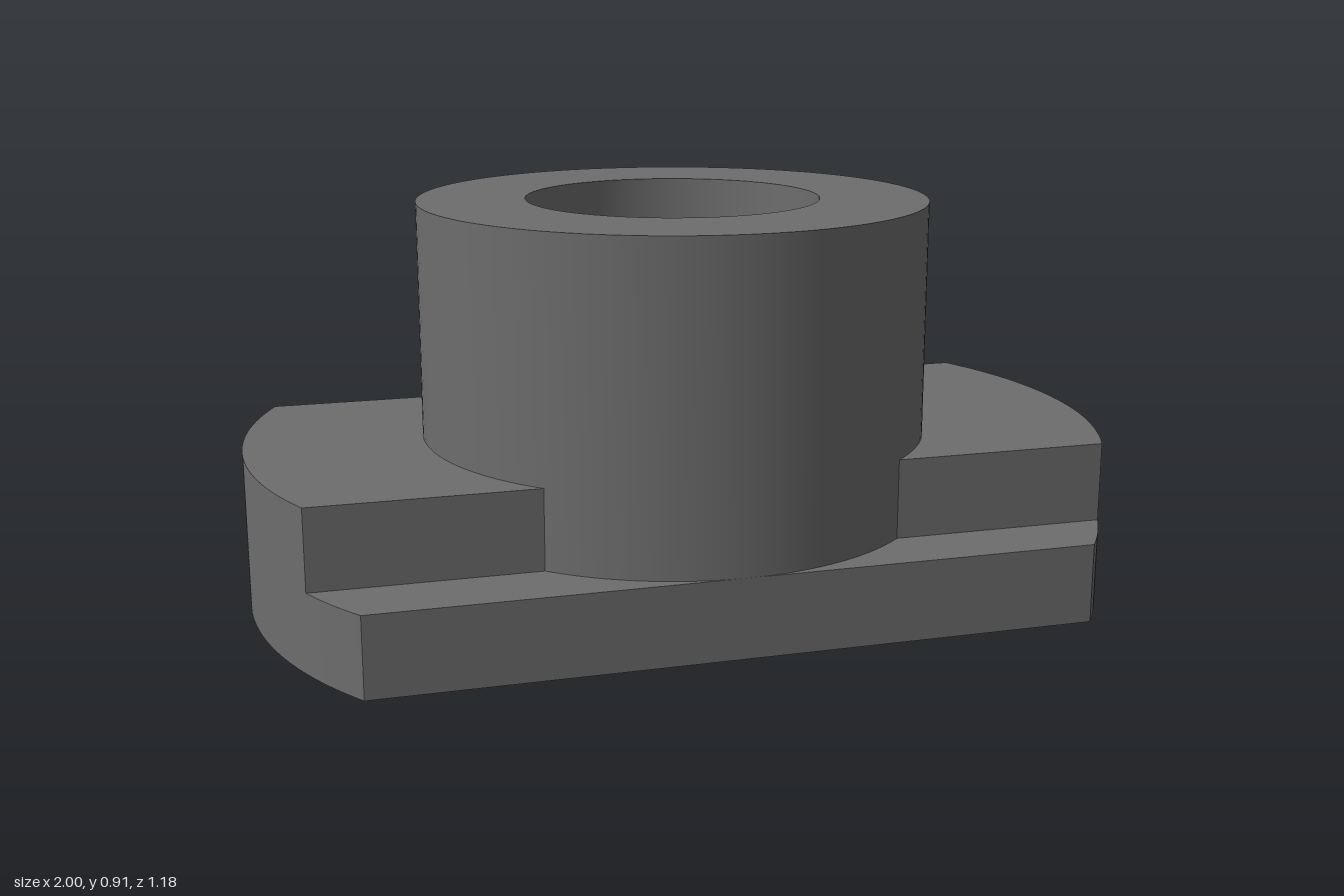
import * as THREE from 'three';
import { toCreasedNormals } from 'three/addons/utils/BufferGeometryUtils.js';

const FLANGE_R = 1, BOSS_R = 0.59, BORE_R = 0.34;
const BASE_TOP = 0.182, STEP_TOP = 0.365, BOSS_TOP = 0.91;
const STEP_HALF = 0.432; // half depth of the raised pads

export function createModel() {
  const group = new THREE.Group();
  const material = new THREE.MeshStandardMaterial({ color: 0x6d6d6d });

  // Extrudes a plan outline upwards from y0 to y1
  function addSolid(name, shape, y0, y1, turn = 0) {
    const extruded = new THREE.ExtrudeGeometry(shape, { depth: y1 - y0, bevelEnabled: false, curveSegments: 64 });
    extruded.rotateX(-Math.PI / 2).rotateY(turn).translate(0, y0, 0);
    const mesh = new THREE.Mesh(toCreasedNormals(extruded, Math.PI / 6), material);
    mesh.name = name;
    group.add(mesh);
  }

  function cutBore(shape) {
    shape.holes.push(new THREE.Path().absarc(0, 0, BORE_R, 0, Math.PI * 2, true));
    return shape;
  }

  // Base flange: a disc with two parallel flats
  const flat = Math.asin(BOSS_R / FLANGE_R);
  const flange = new THREE.Shape();
  flange.absarc(0, 0, FLANGE_R, -flat, flat, false);
  flange.absarc(0, 0, FLANGE_R, Math.PI - flat, Math.PI + flat, false);
  flange.closePath();
  addSolid('baseFlange', cutBore(flange), 0, BASE_TOP);

  // Raised pads between the flange rim and the boss
  const outer = Math.asin(STEP_HALF / FLANGE_R);
  const inner = Math.asin(STEP_HALF / BOSS_R);
  const pad = new THREE.Shape();
  pad.absarc(0, 0, FLANGE_R, -outer, outer, false);
  pad.absarc(0, 0, BOSS_R, inner, -inner, true);
  pad.closePath();
  addSolid('leftPad', pad, BASE_TOP, STEP_TOP);
  addSolid('rightPad', pad, BASE_TOP, STEP_TOP, Math.PI);

  // Tubular boss
  const boss = new THREE.Shape().absarc(0, 0, BOSS_R, 0, Math.PI * 2, false);
  addSolid('boss', cutBore(boss), BASE_TOP, BOSS_TOP);

  return group;
}
